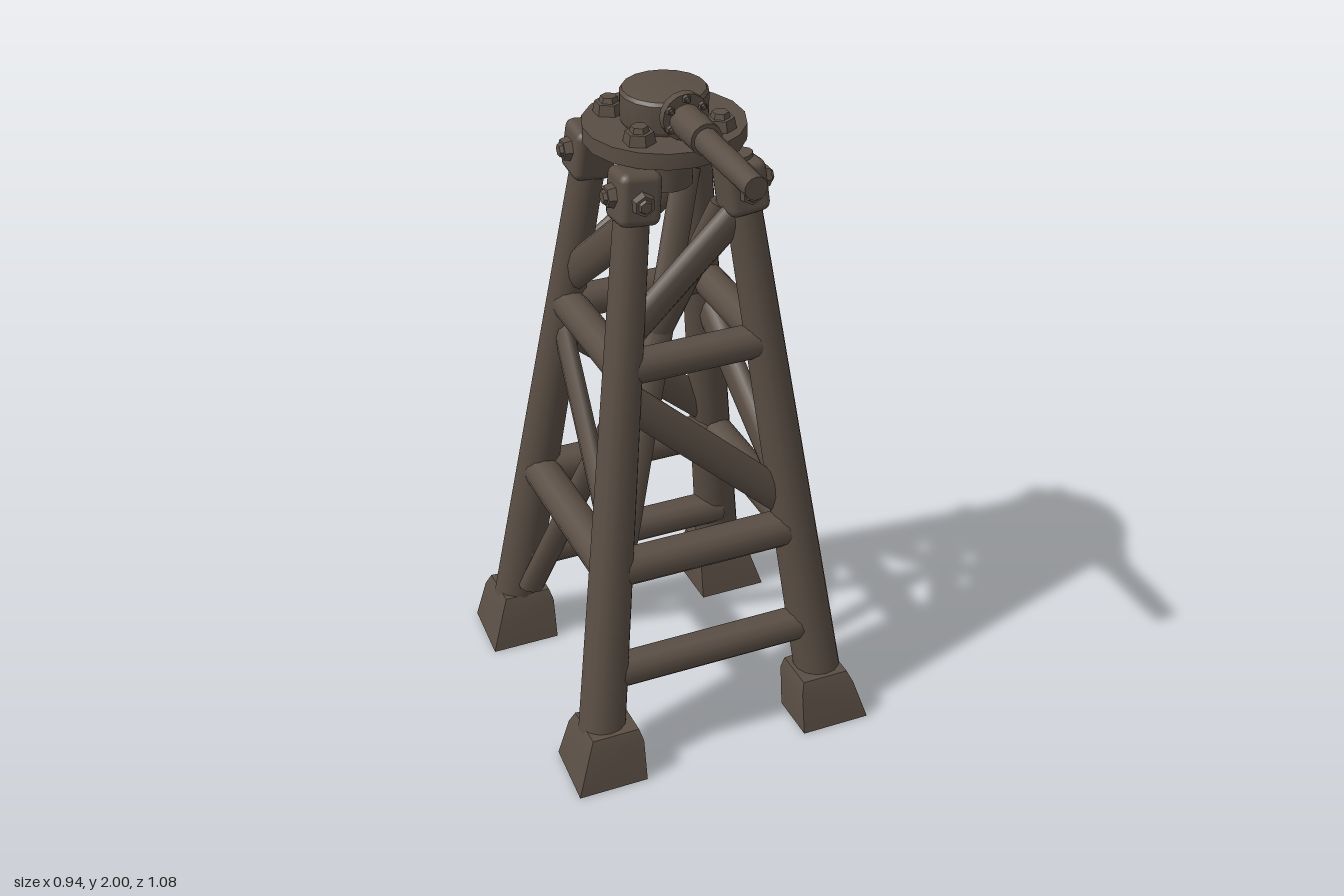
import * as THREE from 'three';
import { toCreasedNormals } from 'three/addons/utils/BufferGeometryUtils.js';
import { RoundedBoxGeometry } from 'three/addons/geometries/RoundedBoxGeometry.js';

const V = (x, y, z) => new THREE.Vector3(x, y, z);
const UP = V(0, 1, 0);
const CZ = -0.045; // middle of the head

// Centre line of a leg at height y (sx: side, sz: front or back)
const legAt = (sx, sz, y) =>
  V(sx * (0.37 - 0.124 * y), y, sz > 0 ? 0.326 - 0.128 * y : -0.448 + 0.141 * y);

// Foot block lofted from four-cornered rings
function footGeometry(side) {
  const rings = [
    [0, [[0.455, 0.207], [0.257, 0.267], [0.257, 0.425], [0.47, 0.425]]],
    [0.13, [[0.428, 0.232], [0.258, 0.25], [0.258, 0.402], [0.428, 0.402]]],
    [0.165, [[0.412, 0.245], [0.268, 0.255], [0.268, 0.388], [0.412, 0.388]]],
  ];
  const pos = [], idx = [];
  const tri = (a, b, c) => (side > 0 ? idx.push(a, c, b) : idx.push(a, b, c));
  rings.forEach(([y, ring]) => ring.forEach(([x, z]) => pos.push(x * side, y, z)));
  for (let r = 0; r < 2; r++) {
    for (let i = 0; i < 4; i++) {
      const a = r * 4 + i, b = r * 4 + ((i + 1) % 4);
      tri(a, a + 4, b);
      tri(b, a + 4, b + 4);
    }
  }
  tri(0, 1, 2); tri(0, 2, 3);
  tri(8, 10, 9); tri(8, 11, 10);
  const g = new THREE.BufferGeometry();
  g.setAttribute('position', new THREE.Float32BufferAttribute(pos, 3));
  g.setIndex(idx);
  return toCreasedNormals(g, 0.9);
}

export function createModel() {
  const model = new THREE.Group();
  const iron = new THREE.MeshStandardMaterial({ color: 0x5a4e44 });
  iron.name = 'dark iron';

  function add(name, geometry, x = 0, y = 0, z = 0, parent = model) {
    const m = new THREE.Mesh(geometry, iron);
    m.name = name;
    m.position.set(x, y, z);
    parent.add(m);
    return m;
  }

  // Tapered rod between two points; kx and kz flatten its section
  function rod(name, a, b, r0, r1 = r0, sides = 12, kx = 1, kz = 1) {
    const d = b.clone().sub(a);
    const g = new THREE.CylinderGeometry(r1, r0, d.length(), sides);
    g.scale(kx, 1, kz);
    const mid = a.clone().add(b).multiplyScalar(0.5);
    const m = add(name, g, mid.x, mid.y, mid.z);
    m.quaternion.setFromUnitVectors(UP, d.normalize());
  }

  // Hexagonal bolt pointing along dir
  function bolt(name, x, y, z, dir, r, h) {
    const g = new THREE.Group();
    g.name = name;
    g.position.set(x, y, z);
    g.quaternion.setFromUnitVectors(UP, dir);
    const flat = (top, bottom, height) =>
      toCreasedNormals(new THREE.CylinderGeometry(top, bottom, height, 6), 0.5);
    add('boltHead', flat(r * 0.85, r, h * 0.7), 0, h * 0.35, 0, g);
    add('boltTip', flat(r * 0.5, r * 0.6, h * 0.3), 0, h * 0.85, 0, g);
    model.add(g);
  }

  // Legs, feet and bolted top brackets
  for (const sx of [-1, 1]) {
    for (const sz of [-1, 1]) {
      rod('leg', legAt(sx, sz, 0.09), legAt(sx, sz, 1.8), 0.071, 0.049, 14);
      add('foot', footGeometry(sx), 0, 0, sz > 0 ? 0 : -0.747);

      const c = legAt(sx, sz, 1.73 - sx * 0.012);
      c.z += sz * 0.008;
      const bracket = add('bracket', new RoundedBoxGeometry(0.122, 0.15, 0.122, 2, 0.024), c.x, c.y, c.z);
      bracket.rotation.set(-sz * 0.1, 0, sx * 0.1);
      bolt('bracketBolt', c.x + sx * 0.058, c.y + 0.01, c.z, V(sx, 0, 0), 0.035, 0.034);
      bolt('bracketBolt', c.x, c.y, c.z + sz * 0.058, V(0, 0, sz), 0.035, 0.03);
    }
  }

  // Horizontal bars, the rear ones set slightly inward
  for (const s of [-1, 1]) {
    for (const [y, r] of [[1.25, 0.05], [0.645, 0.055], [0.315, 0.052]]) {
      const a = legAt(-1, s, y), b = legAt(1, s, y);
      if (s < 0) {
        a.z += 0.025;
        b.z += 0.025;
      }
      rod('crossBar', a, b, r);
      if (y > 0.5) rod('sideBar', legAt(s, 1, y), legAt(s, -1, y), r);
    }
  }

  // Flat diagonal braces on each face, zigzagging between the bars
  const wide = 0.053, thin = 0.55;
  for (const s of [-1, 1]) {
    rod('faceBrace', legAt(1, s, 1.65), legAt(-1, s, 1.335), wide, wide, 10, 1, thin);
    rod('faceBrace', legAt(-1, s, 1.17), legAt(1, s, 0.72), wide, wide, 10, 1, thin);
    rod('sideBrace', legAt(s, 1, 1.65), legAt(s, -1, 1.335), wide, wide, 10, thin, 1);
    rod('sideBrace', legAt(s, -1, 1.17), legAt(s, 1, 0.72), wide, wide, 10, thin, 1);
    // Long inner brace crossing to the opposite leg
    const foot = legAt(-1, -s, 0.2), head = legAt(1, s, 1.65);
    foot.x += 0.015;
    foot.z += s * 0.07;
    head.x -= 0.04;
    head.z -= s * 0.04;
    rod('innerBrace', foot, head, 0.042, 0.042, 10, 1, 0.65);
  }

  // Round top plate with a hub below
  add('topPlate', toCreasedNormals(new THREE.CylinderGeometry(0.226, 0.226, 0.046, 18), 0.6), 0, 1.846, CZ);
  add('hub', toCreasedNormals(new THREE.CylinderGeometry(0.085, 0.08, 0.14, 14), 0.6), 0, 1.757, CZ);
  for (const sx of [-1, 1]) {
    for (const sz of [-1, 1]) {
      bolt('plateBolt', sx * 0.117, 1.865, CZ + sz * 0.108, UP, 0.046, 0.05);
    }
  }

  // Domed cap
  const dome = [[0, 1.868], [0.115, 1.868], [0.122, 1.88], [0.122, 1.955], [0.115, 1.965], [0.07, 1.972], [0, 1.975]];
  const cap = new THREE.LatheGeometry(dome.map(([r, y]) => new THREE.Vector2(r, y)), 18);
  add('cap', toCreasedNormals(cap, 0.6), 0, 0, CZ);

  // Spout with a riveted flange
  const sy = 1.925;
  rod('flange', V(0, 1.934, 0.076), V(0, 1.934, 0.102), 0.066, 0.066, 16);
  for (let i = 0; i < 6; i++) {
    const a = (i + 0.5) * Math.PI / 3;
    bolt('flangeRivet', Math.cos(a) * 0.053, 1.934 + Math.sin(a) * 0.053, 0.1, V(0, 0, 1), 0.013, 0.018);
  }
  rod('spoutNeck', V(0, sy, 0.02), V(0, sy, 0.235), 0.048, 0.045, 14);
  rod('spout', V(0, sy - 0.003, 0.22), V(0, sy - 0.007, 0.535), 0.036, 0.032, 14);

  return model;
}
